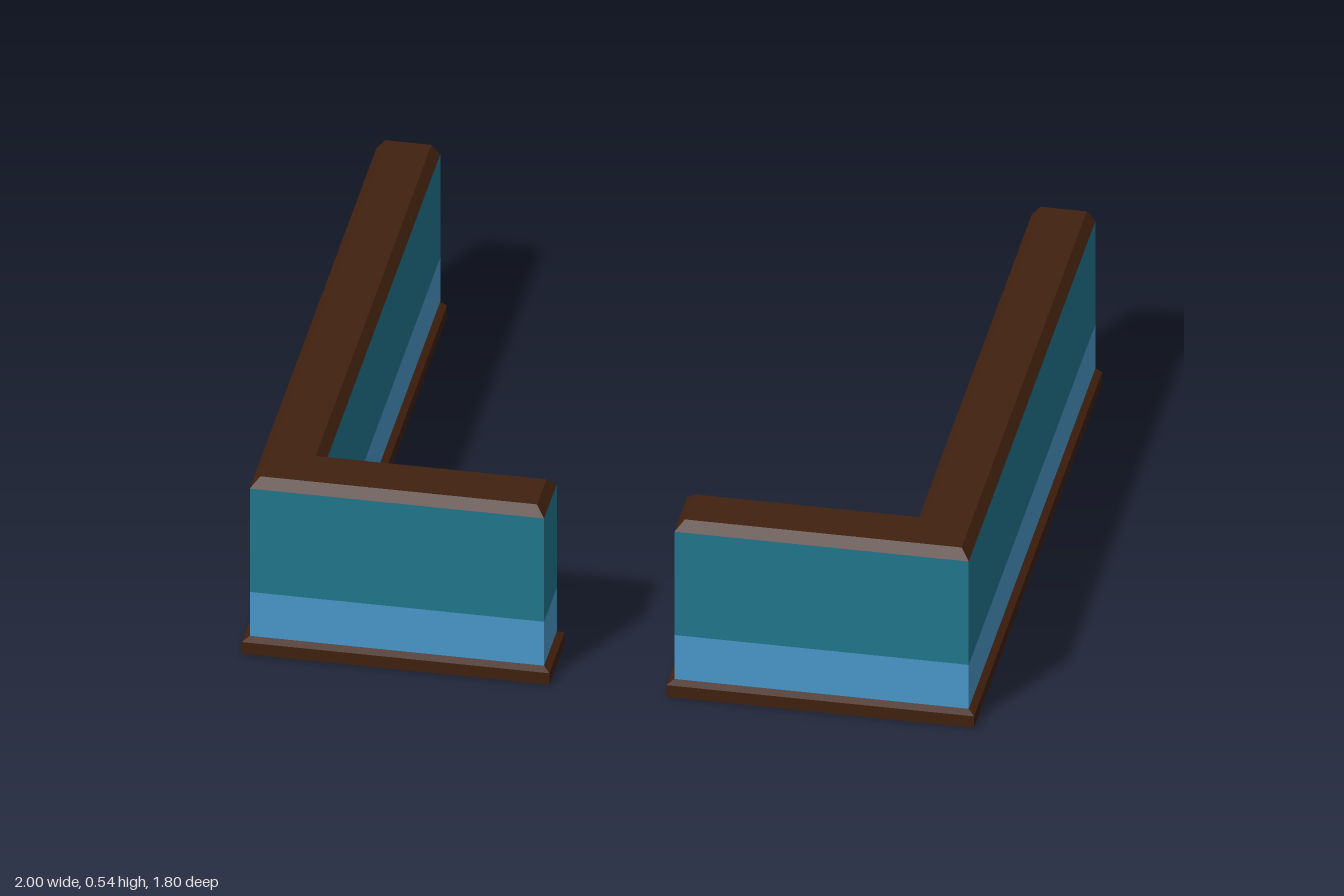
import * as THREE from 'three';

const mat = (name, color) => {
  const m = new THREE.MeshStandardMaterial({ color, side: THREE.DoubleSide });
  m.name = name;
  return m;
};

// L-shaped outline of one wall, inset by d, running from the back inner end
// round the free end to the back outer end (the back stays open)
const outline = (d, y, side) => [
  [0.79 + d, -0.9], [0.79 + d, 0.685 + d], [0.16 + d, 0.685 + d],
  [0.16 + d, 0.9 - d], [1 - d, 0.9 - d], [1 - d, -0.9],
].map(([x, z]) => [side * x, y, z]);

// Sweep a profile of [inset, height] pairs along the outline, optionally roofed
function sweep(name, profile, side, material, roofed = false) {
  const pos = [];
  const quad = (a, b, c, d) => {
    const q = side > 0 ? [a, b, c, a, c, d] : [a, c, b, a, d, c];
    q.forEach((p) => pos.push(...p));
  };
  const rings = profile.map(([d, y]) => outline(d, y, side));
  for (let r = 0; r < rings.length - 1; r++) {
    for (let i = 0; i < 5; i++) {
      quad(rings[r][i], rings[r][i + 1], rings[r + 1][i + 1], rings[r + 1][i]);
    }
  }
  if (roofed) {
    const p = rings[rings.length - 1];
    quad(p[0], p[1], p[4], p[5]);
    quad(p[1], p[2], p[3], p[4]);
  }
  const geo = new THREE.BufferGeometry();
  geo.setAttribute('position', new THREE.Float32BufferAttribute(pos, 3));
  geo.computeVertexNormals();
  const mesh = new THREE.Mesh(geo, material);
  mesh.name = name;
  return mesh;
}

export function createModel() {
  const wood = mat('dark wood', 0x41210f);
  const teal = mat('teal paint', 0x23788f);
  const blue = mat('blue paint', 0x4b9acd);

  const model = new THREE.Group();
  model.name = 'cornerWalls';
  for (const side of [1, -1]) {
    const wall = new THREE.Group();
    wall.name = side > 0 ? 'leftWall' : 'rightWall';
    wall.add(
      // Skirting with a small chamfer and a narrow underside
      sweep('skirting', [[0.018, 0], [0, 0], [0, 0.036], [0.018, 0.047]], side, wood),
      // Two painted bands of the hollow wall
      sweep('lowerPanel', [[0.018, 0.047], [0.018, 0.185]], side, blue),
      sweep('upperPanel', [[0.018, 0.185], [0.018, 0.51]], side, teal),
      // Bevelled capping rail
      sweep('cap', [[0.018, 0.51], [0.042, 0.537]], side, wood, true),
    );
    model.add(wall);
  }
  return model;
}
